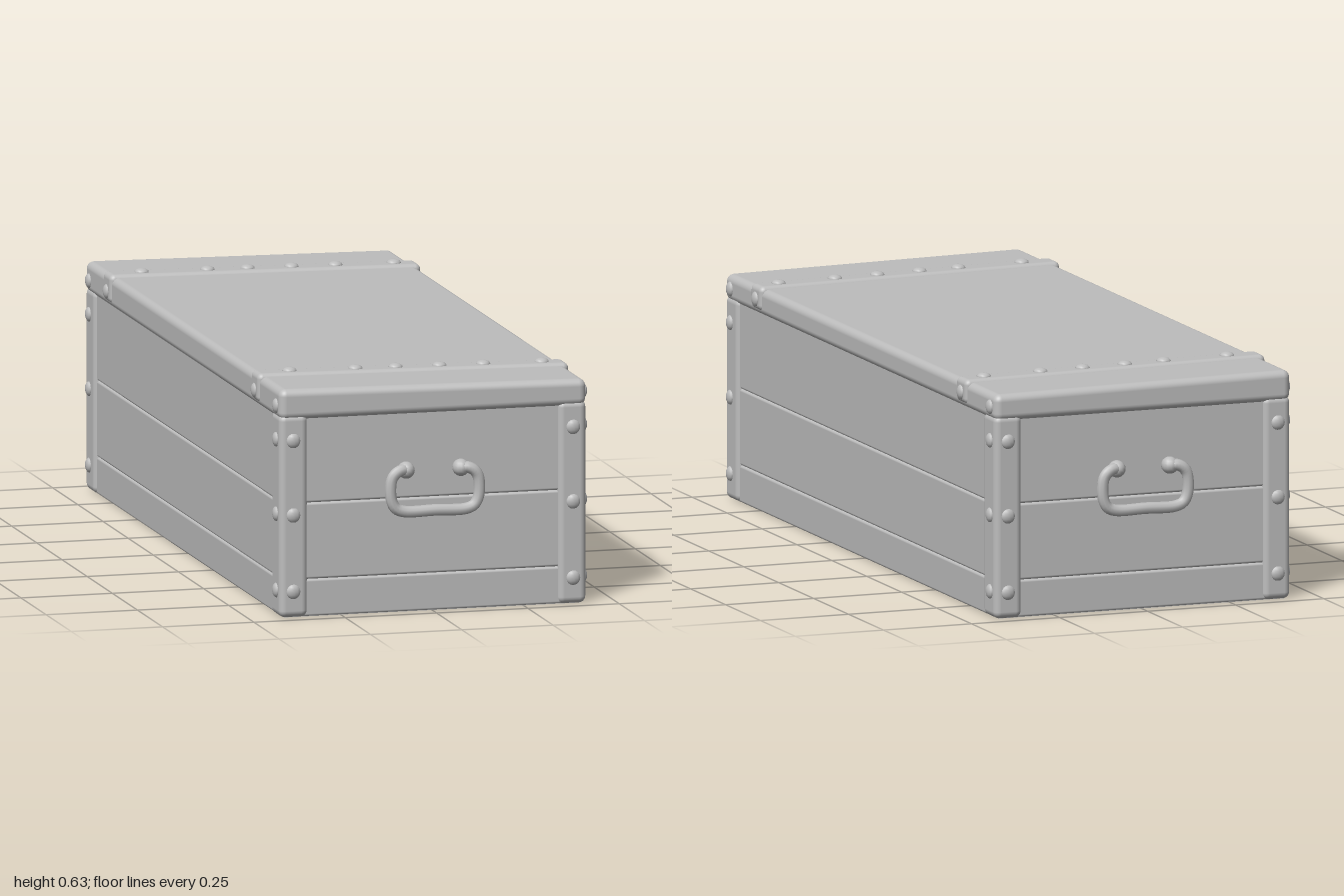
import * as THREE from 'three';
import { RoundedBoxGeometry } from 'three/addons/geometries/RoundedBoxGeometry.js';

export function createModel() {
  const crate = new THREE.Group();
  crate.name = 'storageCrate';
  const grey = new THREE.MeshStandardMaterial({ color: 0xbdbdbd });
  grey.name = 'plain grey';

  const add = (name, geometry, x, y, z) => {
    const mesh = new THREE.Mesh(geometry, grey);
    mesh.name = name;
    mesh.position.set(x, y, z);
    crate.add(mesh);
    return mesh;
  };
  const block = (name, w, h, d, x, y, z, r) =>
    add(name, new RoundedBoxGeometry(w, h, d, 3, r), x, y, z);

  // The lid rises slightly towards the right-hand (-x) edge
  const tilt = (geometry) => {
    const p = geometry.attributes.position;
    for (let i = 0; i < p.count; i++) {
      if (p.getY(i) > 0) p.setY(i, p.getY(i) - 0.014 * p.getX(i));
    }
    geometry.computeBoundingSphere();
    return geometry;
  };

  // Rivet domes, squashed along the wall they sit on
  const dome = new THREE.SphereGeometry(0.02, 12, 8);
  const rivet = (x, y, z, axis) => {
    const mesh = add('rivet', dome, x, y, z);
    mesh.scale[axis] = 0.55;
  };

  // Inner body and the base it stands on
  add('innerBody', new THREE.BoxGeometry(0.806, 0.53, 1.894), 0, 0.275, 0);
  add('base', new THREE.BoxGeometry(0.81, 0.03, 1.91), 0, 0.015, 0);

  // Stacked planks on all four walls
  for (const [bottom, top] of [[0, 0.1], [0.1, 0.305], [0.305, 0.54]]) {
    block('wallPlank', 0.822, top - bottom, 1.916, 0, (top + bottom) / 2, 0, 0.007);
  }

  // Corner posts with rivets on both outer faces
  for (const sx of [-1, 1]) {
    for (const sz of [-1, 1]) {
      block('cornerPost', 0.078, 0.545, 0.09, sx * 0.381, 0.2725, sz * 0.923, 0.018);
      for (const y of [0.07, 0.275, 0.475]) {
        rivet(sx * 0.419, y, sz * 0.93, 'x');
        rivet(sx * 0.383, y, sz * 0.966, 'z');
      }
    }
  }

  // Lid with a soft rim
  add('lid', tilt(new RoundedBoxGeometry(0.84, 0.077, 1.938, 4, 0.02)), 0, 0.5685, 0);

  for (const sz of [-1, 1]) {
    // Strap across the lid, folded over both edges
    const z = sz * 0.735;
    add('lidStrap', tilt(new RoundedBoxGeometry(0.852, 0.072, 0.075, 3, 0.015)), 0, 0.579, z);
    for (const x of [-0.33, -0.15, -0.04, 0.08, 0.2, 0.36]) {
      rivet(x, 0.614 - 0.014 * x, z, 'y');
    }
    for (const sx of [-1, 1]) {
      rivet(sx * 0.424, 0.572, z, 'x');
      rivet(sx * 0.419, 0.565, sz * 0.93, 'x');
    }

    // Hanging carry handle
    const handle = new THREE.Group();
    handle.name = 'carryHandle';
    const half = [[0.07, 0.375, 0], [0.085, 0.385, 0.008], [0.105, 0.378, 0.012],
      [0.118, 0.36, 0.012], [0.12, 0.31, 0.012], [0.108, 0.284, 0.012], [0.085, 0.274, 0.012]];
    const points = [...half.map(([x, y, d]) => new THREE.Vector3(-x, y, d)),
      new THREE.Vector3(0, 0.274, 0.012),
      ...half.slice().reverse().map(([x, y, d]) => new THREE.Vector3(x, y, d))];
    const bar = new THREE.Mesh(
      new THREE.TubeGeometry(new THREE.CatmullRomCurve3(points), 64, 0.0155, 10), grey);
    bar.name = 'handleBar';
    handle.add(bar);
    // Mounting knobs joining the bar to the wall
    for (const sx of [-1, 1]) {
      const knob = new THREE.Mesh(new THREE.SphereGeometry(0.023, 14, 10), grey);
      knob.name = 'handleMount';
      knob.position.set(sx * 0.075, 0.382, -0.003);
      knob.scale.z = 1.1;
      handle.add(knob);
    }
    handle.position.z = sz * 0.972;
    handle.rotation.y = sz < 0 ? Math.PI : 0;
    crate.add(handle);
  }
  return crate;
}
